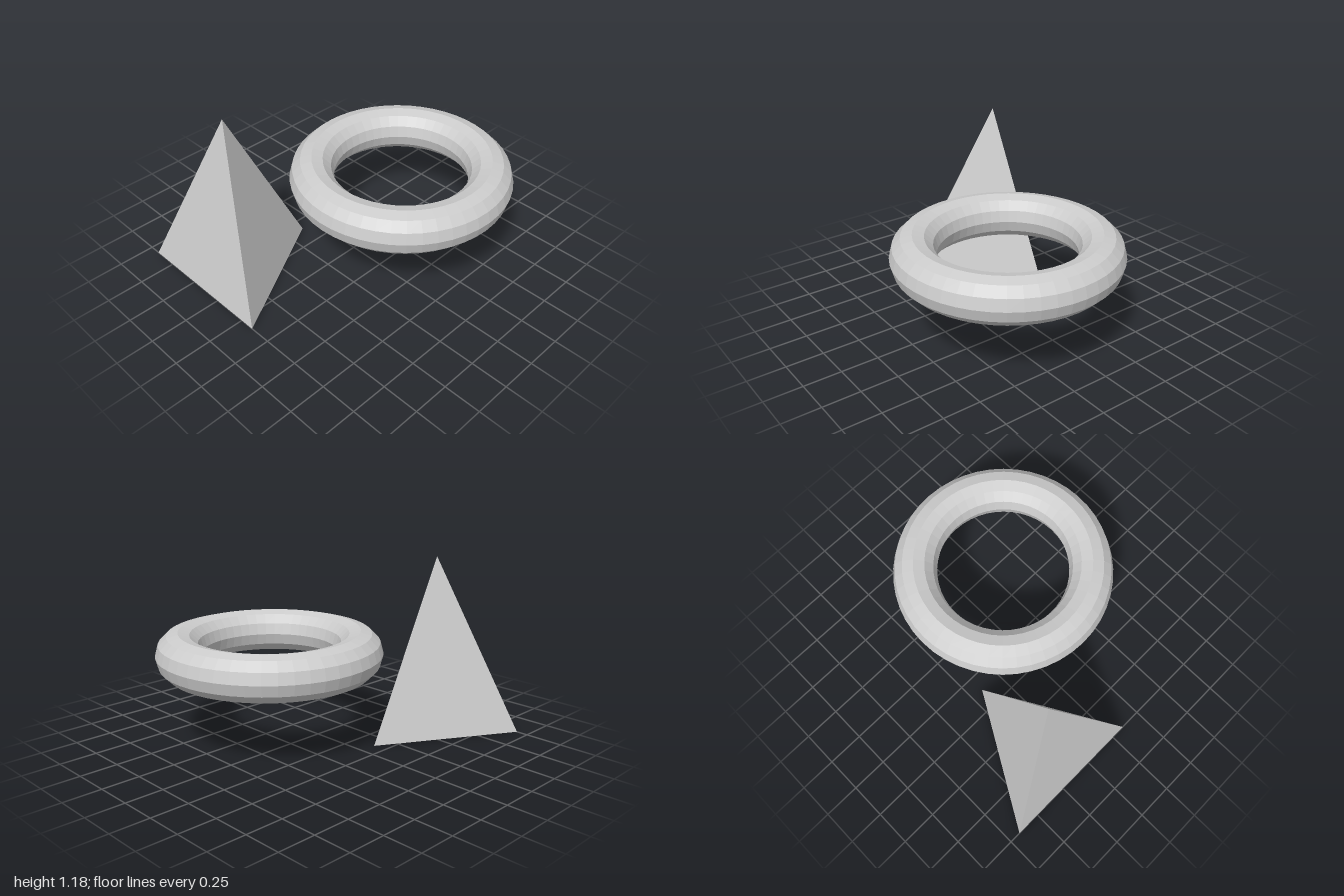
import * as THREE from 'three';

export function createModel() {
  const model = new THREE.Group();
  const grey = new THREE.MeshStandardMaterial({ color: 0xcccccc, flatShading: true });
  grey.name = 'light grey';
  const unit = 0.591;

  const add = (name, geometry, x, y, z) => {
    const mesh = new THREE.Mesh(geometry, grey);
    mesh.name = name;
    mesh.position.set(x, y, z);
    model.add(mesh);
  };

  // Three-sided pyramid with one flat face to the front
  const height = 2 * unit;
  add('pyramid', new THREE.ConeGeometry(unit, height, 3).rotateY(Math.PI), -0.409, height / 2, 0.705);

  // Faceted ring lying flat beside and behind the pyramid
  add('ring', new THREE.TorusGeometry(unit, unit / 4, 12, 48).rotateX(-Math.PI / 2), 0.181, 0.598, -0.261);

  return model;
}
